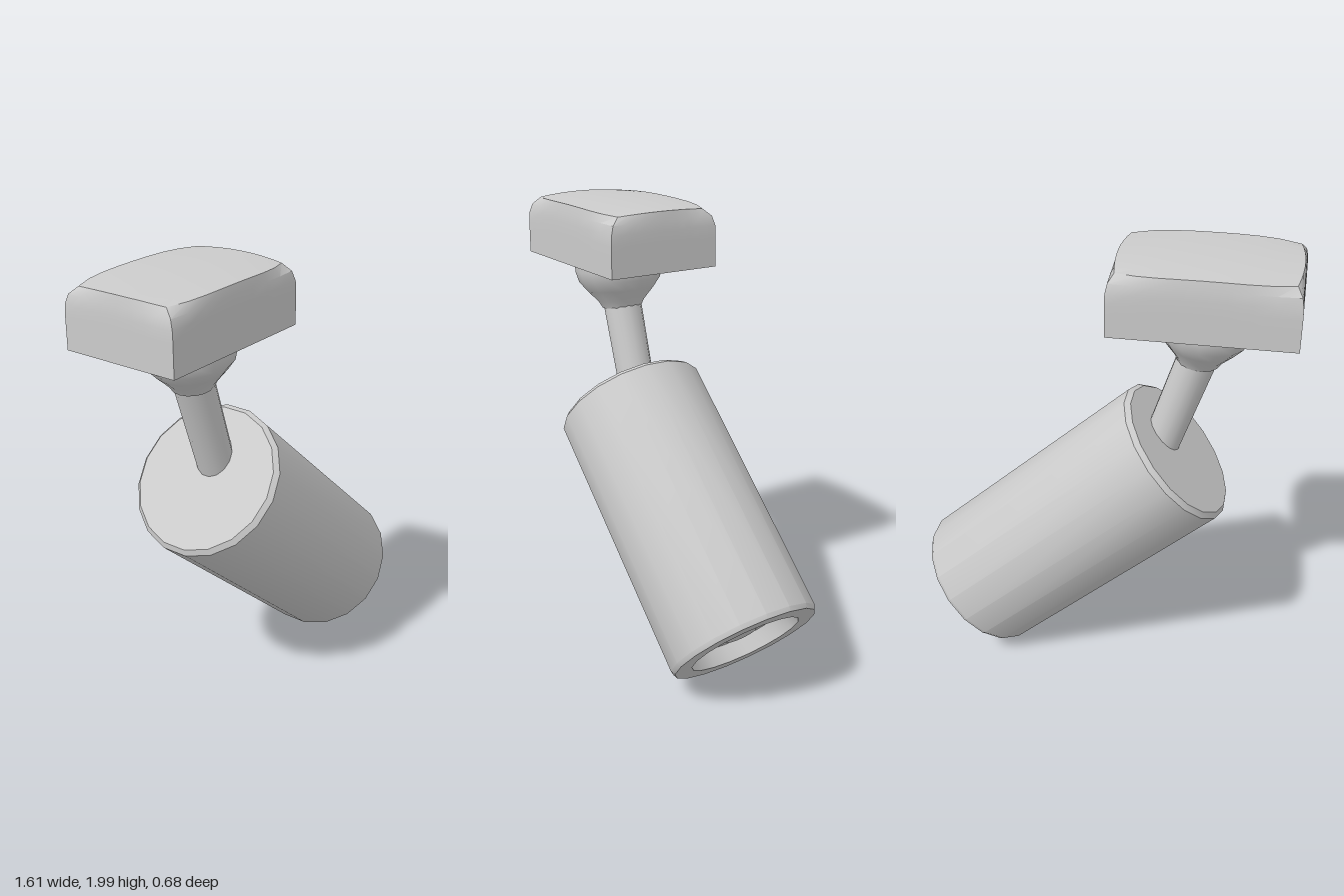
import * as THREE from 'three';
import { toCreasedNormals } from 'three/addons/utils/BufferGeometryUtils.js';

const material = new THREE.MeshStandardMaterial({ color: 0xcccccc });

function addMesh(parent, name, geometry, crease = 0.55) {
  const mesh = new THREE.Mesh(toCreasedNormals(geometry, crease), material);
  mesh.name = name;
  parent.add(mesh);
  return mesh;
}

// Turned part whose profile [radius, height] runs from one point towards another
function addTurned(parent, name, profile, from, to, segments) {
  const points = profile.map(([r, h]) => new THREE.Vector2(r, h));
  const mesh = addMesh(parent, name, new THREE.LatheGeometry(points, segments));
  const direction = to.clone().sub(from).normalize();
  mesh.position.copy(from);
  mesh.quaternion.setFromUnitVectors(new THREE.Vector3(0, 1, 0), direction);
  return mesh;
}

// Ceiling block with a softly bulging top and rounded upper corners
function blockGeometry(w, h, d) {
  const geometry = new THREE.BoxGeometry(w, h, d, 8, 6, 8);
  const p = geometry.attributes.position;
  for (let i = 0; i < p.count; i++) {
    const nx = p.getX(i) / (w / 2);
    const ny = p.getY(i) / (h / 2);
    const nz = p.getZ(i) / (d / 2);
    const up = Math.max(0, ny) ** 3;
    const x = nx * (w / 2 - up * (0.01 + 0.02 * nz * nz));
    const z = nz * (d / 2 - up * (0.01 + 0.04 * nx ** 4));
    const y = ny * h / 2 - up * 0.02 * (nx * nx + nz * nz) / 2;
    p.setXYZ(i, x, y, z);
  }
  return geometry;
}

export function createModel() {
  const model = new THREE.Group();
  model.name = 'adjustableSpotlight';

  // Mounting block
  addMesh(model, 'mountingBlock', blockGeometry(0.75, 0.27, 0.52))
    .position.set(-0.435, 1.865, -0.01);

  // Flared collar under the block
  const collar = [[0, 0], [0.088, 0], [0.105, 0.03], [0.15, 0.08], [0.185, 0.125], [0.197, 0.17], [0.198, 0.24]];
  addTurned(model, 'collar', collar,
    new THREE.Vector3(-0.405, 1.52, 0), new THREE.Vector3(-0.435, 1.75, 0), 16);

  // Slanted arm, running into the back of the lamp
  const armTop = new THREE.Vector3(-0.41, 1.56, 0);
  const armEnd = new THREE.Vector3(-0.245, 1.06, 0);
  const armLength = armTop.distanceTo(armEnd);
  addTurned(model, 'arm', [[0, 0], [0.085, 0], [0.08, armLength], [0, armLength]], armTop, armEnd, 14);

  // Lamp housing with bevelled rims and a recessed front
  const back = new THREE.Vector3(-0.345, 1.09, 0);
  const front = new THREE.Vector3(0.583, 0.255, 0);
  const L = back.distanceTo(front);
  const housing = [
    [0, 0], [0.318, 0], [0.338, 0.02], [0.338, L - 0.02], [0.328, L],
    [0.25, L], [0.23, L - 0.075], [0, L - 0.075],
  ];
  addTurned(model, 'lampHousing', housing, back, front, 18);

  // Small raised bulb in the recess
  const bulb = [[0.085, L - 0.08], [0.085, L - 0.055], [0.07, L - 0.042], [0, L - 0.042]];
  addTurned(model, 'bulb', bulb, back, front, 14);

  return model;
}
